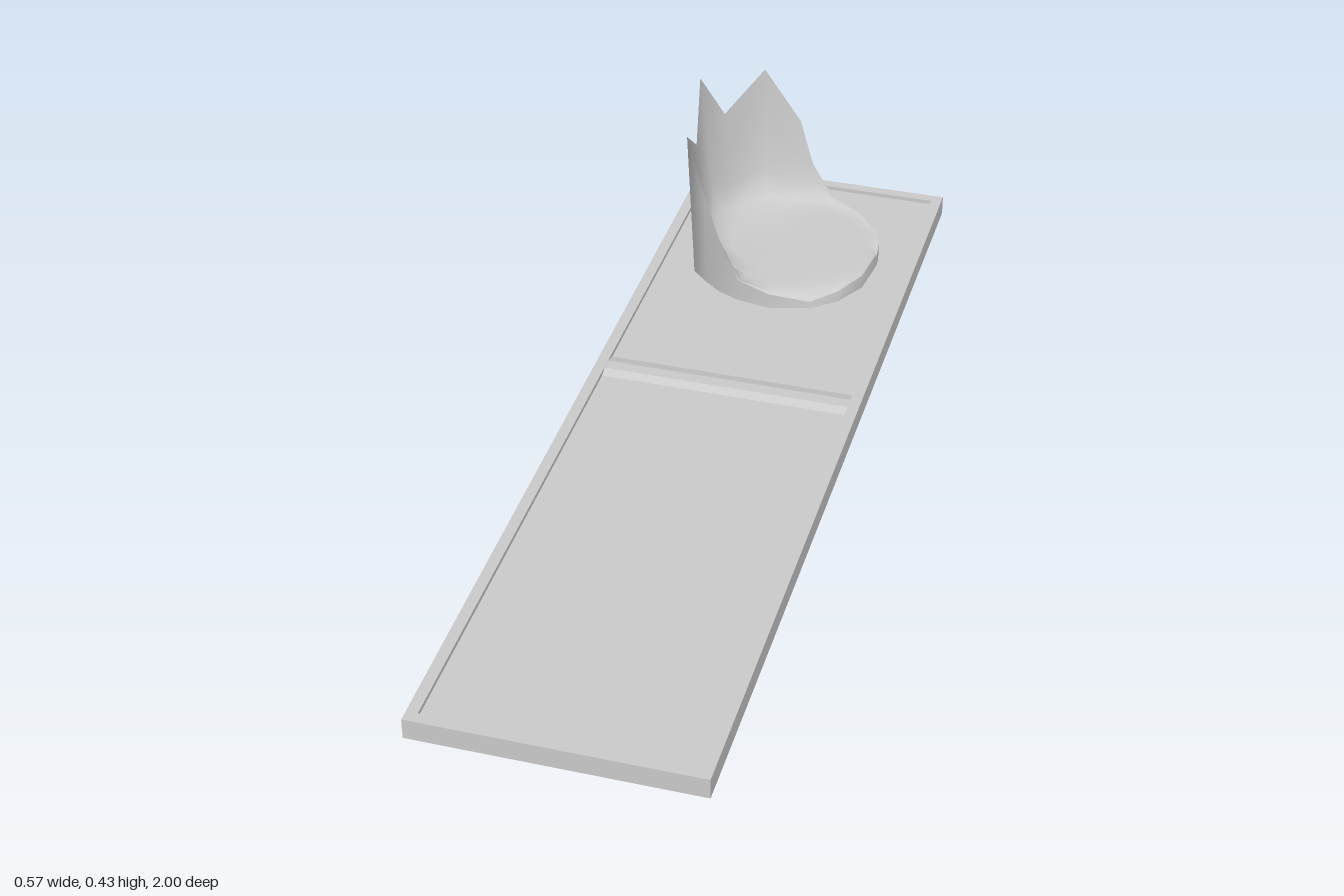
import * as THREE from 'three';

const material = new THREE.MeshStandardMaterial({ color: 0xcccccc, side: THREE.DoubleSide });
const FLOOR = 0.035, RIM = 0.044;
const CX = 0, CZ = -0.667;

function add(parent, geometry, name) {
  const mesh = new THREE.Mesh(geometry, material);
  mesh.name = name;
  parent.add(mesh);
  return mesh;
}

// Skin a list of closed rings of [x, y, z] points
function loft(rings) {
  const n = rings[0].length, index = [];
  for (let r = 0; r < rings.length - 1; r++) {
    for (let i = 0; i < n; i++) {
      const a = r * n + i, b = r * n + (i + 1) % n;
      index.push(a, b, b + n, a, b + n, a + n);
    }
  }
  const g = new THREE.BufferGeometry();
  g.setAttribute('position', new THREE.Float32BufferAttribute(rings.flat(2), 3));
  g.setIndex(index);
  g.computeVertexNormals();
  return g;
}

function rectangle(Type, w, d) {
  return new Type([[-w, -d], [w, -d], [w, d], [-w, d]].map(p => new THREE.Vector2(...p)));
}

function createBase() {
  const base = new THREE.Group();
  base.name = 'base';

  // Raised border around a shallow recess
  const border = rectangle(THREE.Shape, 0.286, 1);
  border.holes.push(rectangle(THREE.Path, 0.263, 0.977));
  const frame = new THREE.ExtrudeGeometry(border, { depth: RIM, bevelEnabled: false });
  add(base, frame.rotateX(-Math.PI / 2), 'border');
  const floor = new THREE.BoxGeometry(0.526, FLOOR, 1.954);
  add(base, floor.translate(0, FLOOR / 2, 0), 'recessFloor');

  // Sloped bar dividing the two panels
  const profile = new THREE.Shape([[0.192, FLOOR], [0.165, RIM - 0.001], [0.138, RIM - 0.001], [0.12, FLOOR]]
    .map(p => new THREE.Vector2(...p)));
  const bar = new THREE.ExtrudeGeometry(profile, { depth: 0.526, bevelEnabled: false });
  add(base, bar.translate(0, 0, -0.263).rotateY(Math.PI / 2), 'dividerBar');
  return base;
}

// Broken edge, walked from the right side round the back:
// foot x, foot z, top x, top z, top height
const EDGE = [
  [0.199, -0.690, 0.198, -0.690, 0.065], [0.198, -0.703, 0.196, -0.703, 0.048],
  [0.197, -0.716, 0.196, -0.716, 0.065], [0.187, -0.765, 0.186, -0.765, 0.067],
  [0.130, -0.832, 0.128, -0.830, 0.075], [0.055, -0.866, 0.055, -0.865, 0.087],
  [0.005, -0.872, 0.005, -0.874, 0.162], [-0.030, -0.868, -0.025, -0.872, 0.270],
  [-0.105, -0.842, -0.106, -0.858, 0.397], [-0.165, -0.780, -0.172, -0.760, 0.327],
  [-0.198, -0.715, -0.217, -0.720, 0.432], [-0.200, -0.640, -0.198, -0.622, 0.322],
  [-0.186, -0.560, -0.195, -0.537, 0.390], [-0.150, -0.525, -0.152, -0.528, 0.247],
  [-0.110, -0.494, -0.110, -0.497, 0.163], [-0.062, -0.473, -0.062, -0.473, 0.086],
  [0.010, -0.461, 0.010, -0.461, 0.070], [0.097, -0.484, 0.096, -0.486, 0.050],
  [0.150, -0.527, 0.148, -0.529, 0.059], [0.188, -0.595, 0.187, -0.596, 0.065],
];

function createStump() {
  const stump = new THREE.Group();
  stump.name = 'brokenStump';

  // Bark side rising to the jagged edge
  const side = [0, 0.5, 1].map(t => EDGE.map(([x, z, u, v, h]) =>
    [x + (u - x) * t, FLOOR + (h - FLOOR) * t, z + (v - z) * t]));
  add(stump, loft(side), 'outerBark');

  // Inner face, thin at the spikes and curving into the sloping cut surface
  const rows = [[1, 1], [0.965, 0.6], [0.92, 0.25], [0.83, 0.05], [0.62, 0], [0.001, 0]];
  const inside = rows.map(([radial, t]) => EDGE.map(([x, z, u, v, h]) => {
    const px = CX + (x + (u - x) * t - CX) * radial;
    const pz = CZ + (z + (v - z) * t - CZ) * radial;
    const cut = 0.077 - 0.06 * px;
    return [px, cut + (h - cut) * t, pz];
  }));
  add(stump, loft(inside), 'splitWood');
  return stump;
}

export function createModel() {
  const model = new THREE.Group();
  model.name = 'stumpOnBase';
  model.add(createBase(), createStump());
  return model;
}
